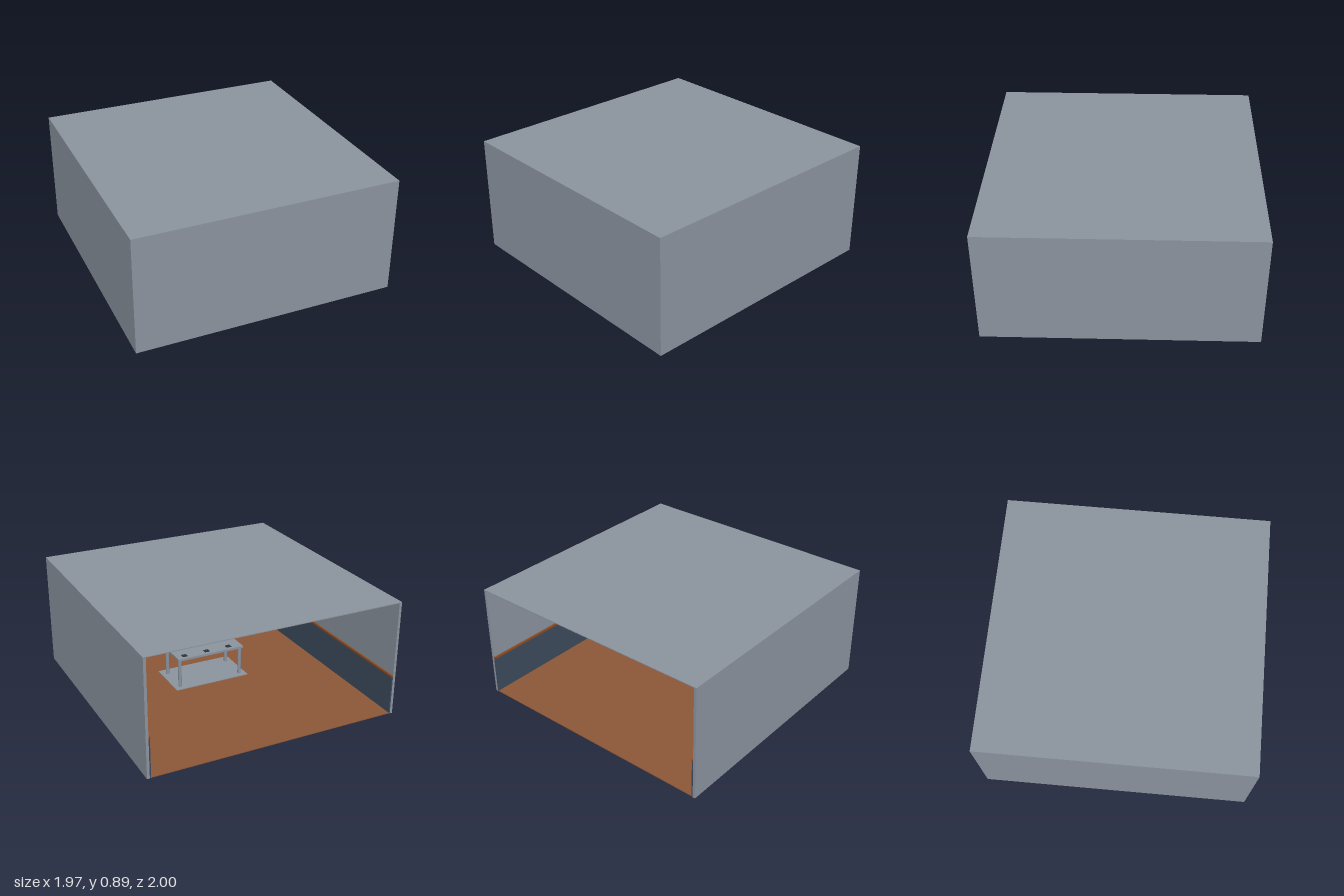
import * as THREE from 'three';

const mat = (name, color, side = THREE.FrontSide) => {
  const m = new THREE.MeshStandardMaterial({ color, side });
  m.name = name;
  return m;
};

export function createModel() {
  const room = new THREE.Group();
  room.name = 'room';
  const grey = mat('slate grey', 0x8a929d);
  const navy = mat('navy', 0x3d4a5d);
  const navyFlat = mat('navy underside', 0x3d4a5d, THREE.DoubleSide);
  const brown = mat('floor brown', 0x8b5637);
  const rail = mat('rail brown', 0x8b4a22);
  const dark = mat('dark grey', 0x2c333b);

  // Box given by its extents along each axis
  function box(name, material, [x0, x1], [y0, y1], [z0, z1], parent = room) {
    const mesh = new THREE.Mesh(new THREE.BoxGeometry(x1 - x0, y1 - y0, z1 - z0), material);
    mesh.position.set((x0 + x1) / 2, (y0 + y1) / 2, (z0 + z1) / 2);
    mesh.name = name;
    parent.add(mesh);
    return mesh;
  }

  const W = 0.985, H = 0.893, D = 1, T = 0.02;
  const panelTop = 0.3, railTop = 0.315;

  // Shell, open at the back
  box('floor', brown, [-W + T, W - T], [0.002, 0.008], [-D, D - T]);
  box('roof', grey, [-W, W], [H - 0.006, H], [-D, D]);
  box('frontWall', grey, [-W, W], [0, H - 0.006], [D - T, D]);

  // Side walls with wainscot and rail
  for (const [side, s] of [['left', 1], ['right', -1]]) {
    const span = (a, b) => [Math.min(s * a, s * b), Math.max(s * a, s * b)];
    box(side + 'Wall', grey, span(W - T, W), [0, H - 0.006], [-D, D - T]);
    box(side + 'Wainscot', navy, span(W - T - 0.01, W - T), [0.008, panelTop], [-D, D - T]);
    box(side + 'Rail', rail, span(W - T - 0.014, W - T), [panelTop, railTop], [-D, D - T]);
  }
  const inner = W - T - 0.01;
  box('frontWainscot', navy, [-inner, inner], [0.008, panelTop], [D - T - 0.01, D - T]);
  box('frontRail', rail, [-inner, inner], [panelTop, railTop], [D - T - 0.014, D - T]);

  // Navy patch on the underside of the floor, in the front left corner
  const patch = new THREE.Shape([
    new THREE.Vector2(0.96, 0.87), new THREE.Vector2(0.45, 0.8),
    new THREE.Vector2(0.4, 0.975), new THREE.Vector2(0.9, 0.975),
  ]);
  const patchMesh = new THREE.Mesh(new THREE.ShapeGeometry(patch), navyFlat);
  patchMesh.rotation.x = Math.PI / 2;
  patchMesh.position.y = 0.0005;
  patchMesh.name = 'underfloorPatch';
  room.add(patchMesh);

  // Table standing on a floor pad
  const table = new THREE.Group();
  table.name = 'table';
  room.add(table);
  box('floorPad', grey, [-0.31, 0.31], [0.008, 0.014], [0.01, 0.37], table);
  box('tableTop', grey, [-0.28, 0.28], [0.24, 0.258], [0.035, 0.33], table);
  const legShape = new THREE.CylinderGeometry(0.014, 0.014, 0.226, 12);
  for (const x of [-0.26, 0.26]) {
    for (const z of [0.06, 0.3]) {
      const leg = new THREE.Mesh(legShape, grey);
      leg.position.set(x, 0.127, z);
      leg.name = 'tableLeg';
      table.add(leg);
    }
  }

  // Dark place plates along both long edges
  for (const x of [-0.17, 0.02, 0.21]) {
    for (const z of [0.08, 0.28]) {
      box('tablePlate', dark, [x - 0.02, x + 0.02], [0.258, 0.262], [z - 0.018, z + 0.018], table);
    }
  }
  return room;
}
